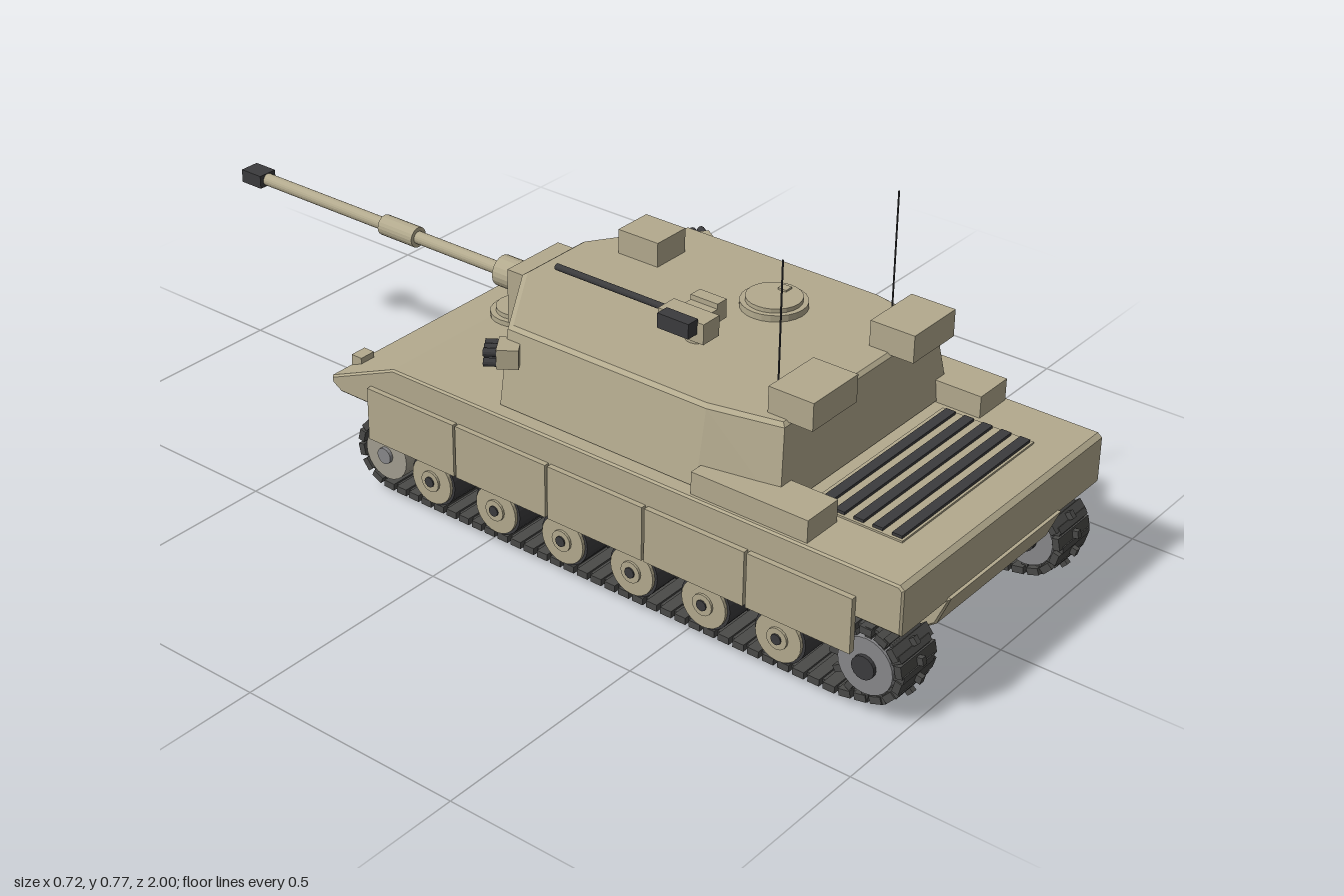
import * as THREE from 'three';
import { mergeGeometries } from 'three/addons/utils/BufferGeometryUtils.js';
import { ConvexGeometry } from 'three/addons/geometries/ConvexGeometry.js';

const paint = (color) => new THREE.MeshStandardMaterial({ color, flatShading: true });

export function createModel() {
  const model = new THREE.Group();
  const tan = paint(0xb3aa8e), dark = paint(0x3b3b3d), trackGrey = paint(0x4a4a48), steel = paint(0x88888a);

  const add = (name, geometry, material = tan, parent = model) => {
    const mesh = new THREE.Mesh(geometry, material);
    mesh.name = name;
    parent.add(mesh);
    return mesh;
  };
  // box given by its limits on each axis
  const box = (name, x0, x1, y0, y1, z0, z1, material, parent) => {
    const g = new THREE.BoxGeometry(x1 - x0, y1 - y0, z1 - z0);
    g.translate((x0 + x1) / 2, (y0 + y1) / 2, (z0 + z1) / 2);
    return add(name, g, material, parent);
  };
  // the same box on both sides of the model
  const boxPair = (name, x0, x1, ...rest) => {
    box(name, x0, x1, ...rest);
    box(name, -x1, -x0, ...rest);
  };
  // cylinders lying along z or x, or standing up
  const rodZ = (name, r, x, y, z0, z1, material, sides = 20) => {
    const g = new THREE.CylinderGeometry(r, r, z1 - z0, sides).rotateX(Math.PI / 2);
    return add(name, g.translate(x, y, (z0 + z1) / 2), material);
  };
  const rodX = (name, r, x0, x1, y, z, material, parent, sides = 24) => {
    const g = new THREE.CylinderGeometry(r, r, x1 - x0, sides).rotateZ(Math.PI / 2);
    return add(name, g.translate((x0 + x1) / 2, y, z), material, parent);
  };
  const post = (name, r, x, y0, y1, z, material, sides = 24) =>
    add(name, new THREE.CylinderGeometry(r, r, y1 - y0, sides).translate(x, (y0 + y1) / 2, z), material);
  // side profile of (z, y) points stretched across the width
  const profile = (name, points, halfWidth) => {
    const bevel = 0.004;
    const shape = new THREE.Shape(points.map(([z, y]) => new THREE.Vector2(z, y)));
    const g = new THREE.ExtrudeGeometry(shape, {
      depth: 2 * (halfWidth - bevel), bevelThickness: bevel, bevelSize: bevel, bevelOffset: -bevel, bevelSegments: 1,
    });
    return add(name, g.translate(0, 0, bevel - halfWidth).rotateY(-Math.PI / 2), tan);
  };

  // hull
  profile('upperHull', [[0.99, 0.21], [0.99, 0.307], [0.98, 0.315], [-0.24, 0.315], [-0.415, 0.24], [-0.415, 0.225], [-0.39, 0.21]], 0.346);
  profile('lowerHull', [[0.997, 0.215], [0.97, 0.15], [0.915, 0.108], [-0.30, 0.108], [-0.40, 0.215]], 0.196);
  boxPair('rearStowageBox', 0.242, 0.336, 0.31, 0.363, 0.51, 0.775);
  boxPair('headlight', 0.25, 0.288, 0.235, 0.266, -0.412, -0.385);
  for (let i = 0; i < 5; i++) {
    const z = -0.302 + i * 0.24;
    boxPair('sideSkirt', 0.344, 0.358, 0.137, 0.256, z, z + 0.234);
  }

  // engine grille
  box('grilleBase', -0.226, 0.226, 0.312, 0.319, 0.70, 0.907);
  for (let i = 0; i < 5; i++) {
    const z = 0.712 + i * 0.042;
    box('grilleSlat', -0.22, 0.22, 0.315, 0.325, z, z + 0.022, dark);
  }

  // driver hatch
  post('driverHatch', 0.062, 0, 0.31, 0.326, -0.2);
  post('driverHatchLid', 0.05, 0, 0.326, 0.336, -0.2);

  // running gear, built on the left and repeated on the right
  const wheel = (parent, z, y, r, rim, disc) => {
    rodX('wheelRim', r, 0.225, 0.33, y, z, rim, parent);
    rodX('wheelDisc', r * 0.9, 0.218, 0.337, y, z, disc, parent);
    rodX('wheelHub', r * 0.4, 0.206, 0.342, y, z, tan, parent, 16);
    rodX('wheelCap', r * 0.2, 0.204, 0.345, y, z, dark, parent, 10);
  };
  const trackLinks = () => {
    const path = new THREE.Shape();
    path.moveTo(0.85, 0.02).lineTo(-0.27, 0.02);
    path.absarc(-0.28, 0.095, 0.075, -Math.PI / 2, Math.PI / 2, true);
    path.absarc(0.91, 0.105, 0.073, Math.PI / 2, -1.3, true);
    path.lineTo(0.85, 0.02);
    const count = 82, points = path.getSpacedPoints(count), parts = [];
    for (let i = 0; i < count; i++) {
      const a = points[i], b = points[i + 1];
      const link = mergeGeometries([
        new THREE.BoxGeometry(0.114, 0.015, 0.026),
        new THREE.BoxGeometry(0.09, 0.007, 0.036),
        new THREE.BoxGeometry(0.012, 0.02, 0.016).translate(0, 0.01, 0),
      ]);
      link.rotateX(Math.atan2(a.y - b.y, b.x - a.x));
      parts.push(link.translate(0.273, (a.y + b.y) / 2, (a.x + b.x) / 2));
    }
    return mergeGeometries(parts);
  };
  const links = trackLinks();
  for (const side of [1, -1]) {
    const gear = new THREE.Group();
    gear.name = side > 0 ? 'leftRunningGear' : 'rightRunningGear';
    // a half turn about y swaps sides, so z is flipped back by mirroring
    gear.scale.x = side;
    model.add(gear);
    add('track', links, trackGrey, gear);
    for (let i = 0; i < 6; i++) wheel(gear, 0.72 - i * 0.174, 0.085, 0.058, dark, tan);
    rodX('idlerWheel', 0.056, 0.22, 0.332, 0.095, -0.28, paint(0xa39e90), gear);
    rodX('idlerHub', 0.018, 0.21, 0.34, 0.095, -0.28, steel, gear, 16);
    rodX('driveSprocket', 0.06, 0.222, 0.332, 0.105, 0.91, steel, gear);
    rodX('sprocketHub', 0.025, 0.21, 0.34, 0.105, 0.91, dark, gear, 16);
    for (let i = 0; i < 12; i++) {
      const tooth = new THREE.BoxGeometry(0.1, 0.026, 0.014).translate(0, 0.068, 0);
      tooth.rotateX((i * Math.PI) / 6).translate(0.277, 0.105, 0.91);
      add('sprocketTooth', tooth, trackGrey, gear);
    }
  }

  // turret with sloped sides
  const ring = (y, half) => half.flatMap(([x, z]) => [new THREE.Vector3(x, y, z), new THREE.Vector3(-x, y, z)]);
  add('turret', new ConvexGeometry([
    ...ring(0.318, [[0.10, -0.122], [0.315, 0.022], [0.315, 0.505], [0.282, 0.675]]),
    ...ring(0.474, [[0.095, -0.108], [0.287, 0.02], [0.287, 0.505], [0.252, 0.658]]),
    ...ring(0.481, [[0.09, -0.098], [0.278, 0.027], [0.278, 0.50], [0.245, 0.65]]),
  ]));
  boxPair('turretStowageBox', 0.094, 0.235, 0.477, 0.536, 0.607, 0.708);

  // main gun
  box('mantlet', -0.08, 0.08, 0.34, 0.463, -0.162, -0.09);
  rodZ('gunSleeve', 0.034, 0, 0.403, -0.246, -0.155);
  rodZ('gunBarrel', 0.014, 0, 0.403, -0.96, -0.24);
  rodZ('boreEvacuator', 0.023, 0, 0.403, -0.583, -0.485);
  box('muzzleBrake', -0.023, 0.023, 0.388, 0.418, -1, -0.942, dark);

  // roof fittings
  box('sightBox', 0.094, 0.185, 0.478, 0.535, -0.012, 0.09);
  post('commanderHatch', 0.069, 0.11, 0.478, 0.495, 0.37);
  post('commanderHatchLid', 0.058, 0.11, 0.495, 0.504, 0.37);
  box('hatchHandle', 0.135, 0.155, 0.502, 0.508, 0.36, 0.38);

  // roof machine gun
  post('machineGunMount', 0.026, -0.09, 0.478, 0.505, 0.335, tan, 16);
  box('machineGunReceiver', -0.14, -0.09, 0.503, 0.547, 0.275, 0.385);
  box('machineGunCradle', -0.10, -0.065, 0.512, 0.545, 0.30, 0.365);
  box('machineGunSight', -0.07, -0.041, 0.515, 0.556, 0.30, 0.365);
  box('ammunitionBox', -0.168, -0.138, 0.522, 0.554, 0.295, 0.37, dark);
  rodZ('machineGunBarrel', 0.007, -0.115, 0.536, 0, 0.28, dark, 12);

  for (const side of [1, -1]) {
    // whip antennas
    post('antennaBase', 0.008, side * 0.187, 0.478, 0.502, 0.595, dark, 10);
    post('antenna', 0.002, side * 0.187, 0.50, 0.771, 0.595, dark, 6);
    // smoke launchers, turned outward
    const launcher = new THREE.Group();
    launcher.name = 'smokeLauncher';
    launcher.position.set(side * 0.308, 0.433, 0.03);
    launcher.rotation.y = -side * 0.6;
    model.add(launcher);
    box('launcherBlock', -0.028, 0.028, -0.021, 0.021, -0.014, 0.03, tan, launcher);
    for (let i = 0; i < 6; i++) {
      const tube = new THREE.CylinderGeometry(0.0085, 0.0085, 0.04, 12).rotateX(Math.PI / 2);
      tube.translate(((i % 3) - 1) * 0.019, i < 3 ? 0.011 : -0.011, -0.02);
      add('launcherTube', tube, dark, launcher);
    }
  }
  return model;
}
